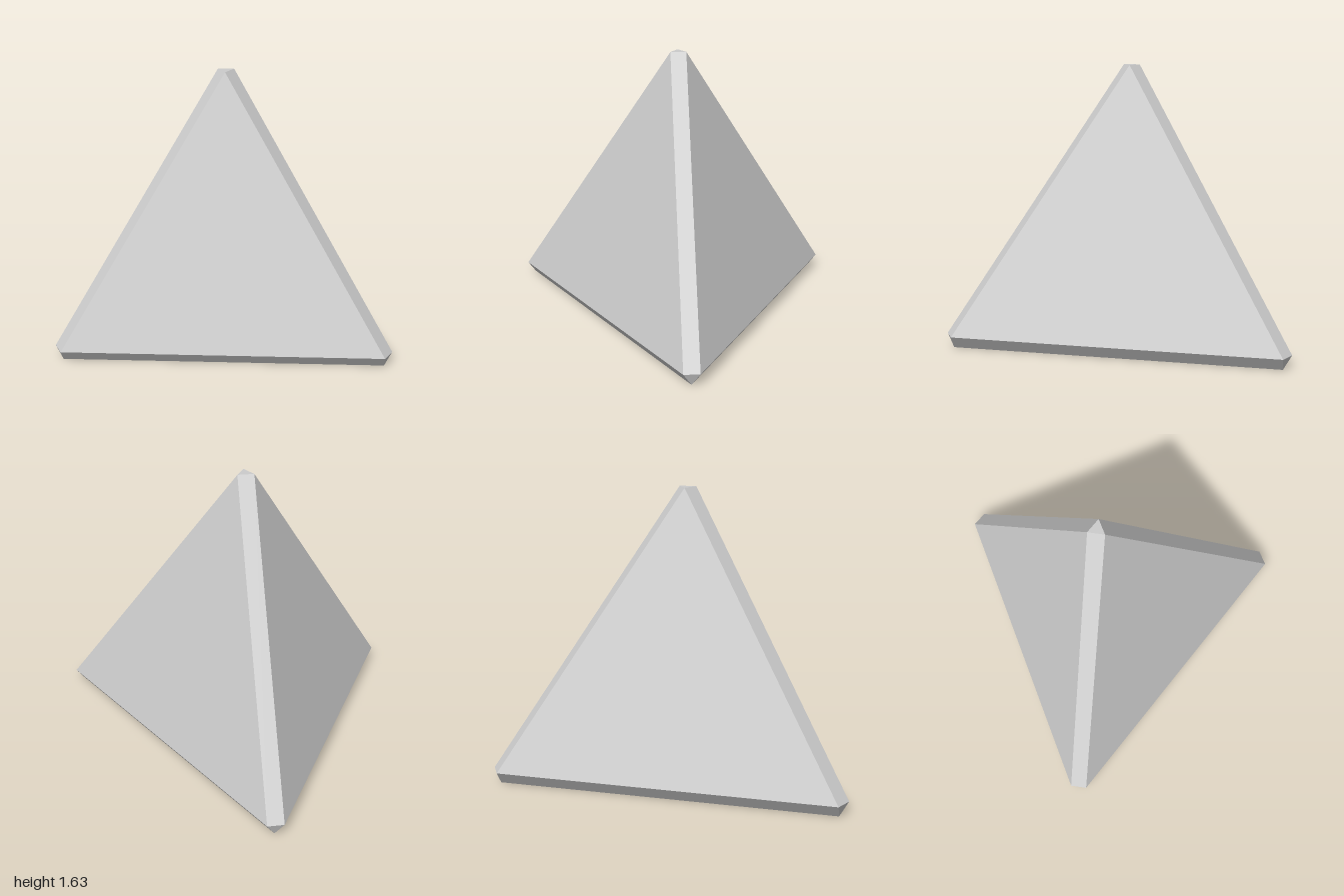
import * as THREE from 'three';
import { ConvexGeometry } from 'three/addons/geometries/ConvexGeometry.js';

const EDGE = 2;        // edge length across the sharp tetrahedron
const BEVEL = 0.0475;  // share of each edge cut away by the bevel

// Corners of a regular tetrahedron: apex up, one base corner on +x
function tetrahedronCorners(edge) {
  const radius = edge / Math.sqrt(3);
  const height = edge * Math.sqrt(2 / 3);
  const corners = [new THREE.Vector3(0, height * 0.75, 0)];
  for (let i = 0; i < 3; i++) {
    const angle = (i * 2 * Math.PI) / 3;
    corners.push(new THREE.Vector3(radius * Math.cos(angle), -height / 4, radius * Math.sin(angle)));
  }
  return corners;
}

export function createModel() {
  const group = new THREE.Group();
  group.name = 'bevelledTetrahedron';

  // Each face is a shrunken triangle pushed outward, away from the opposite corner
  const corners = tetrahedronCorners(EDGE);
  const points = [];
  for (const opposite of corners) {
    for (const corner of corners) {
      if (corner === opposite) continue;
      points.push(corner.clone().multiplyScalar(1 - BEVEL).addScaledVector(opposite, -BEVEL));
    }
  }

  // The hull fills in the edge strips and the small corner triangles
  const geometry = new ConvexGeometry(points);
  geometry.computeBoundingBox();
  const { min, max } = geometry.boundingBox;
  geometry.translate(-(min.x + max.x) / 2, -min.y, -(min.z + max.z) / 2);

  const body = new THREE.Mesh(
    geometry,
    new THREE.MeshStandardMaterial({ color: 0xcccccc, flatShading: true })
  );
  body.name = 'body';
  group.add(body);
  return group;
}
